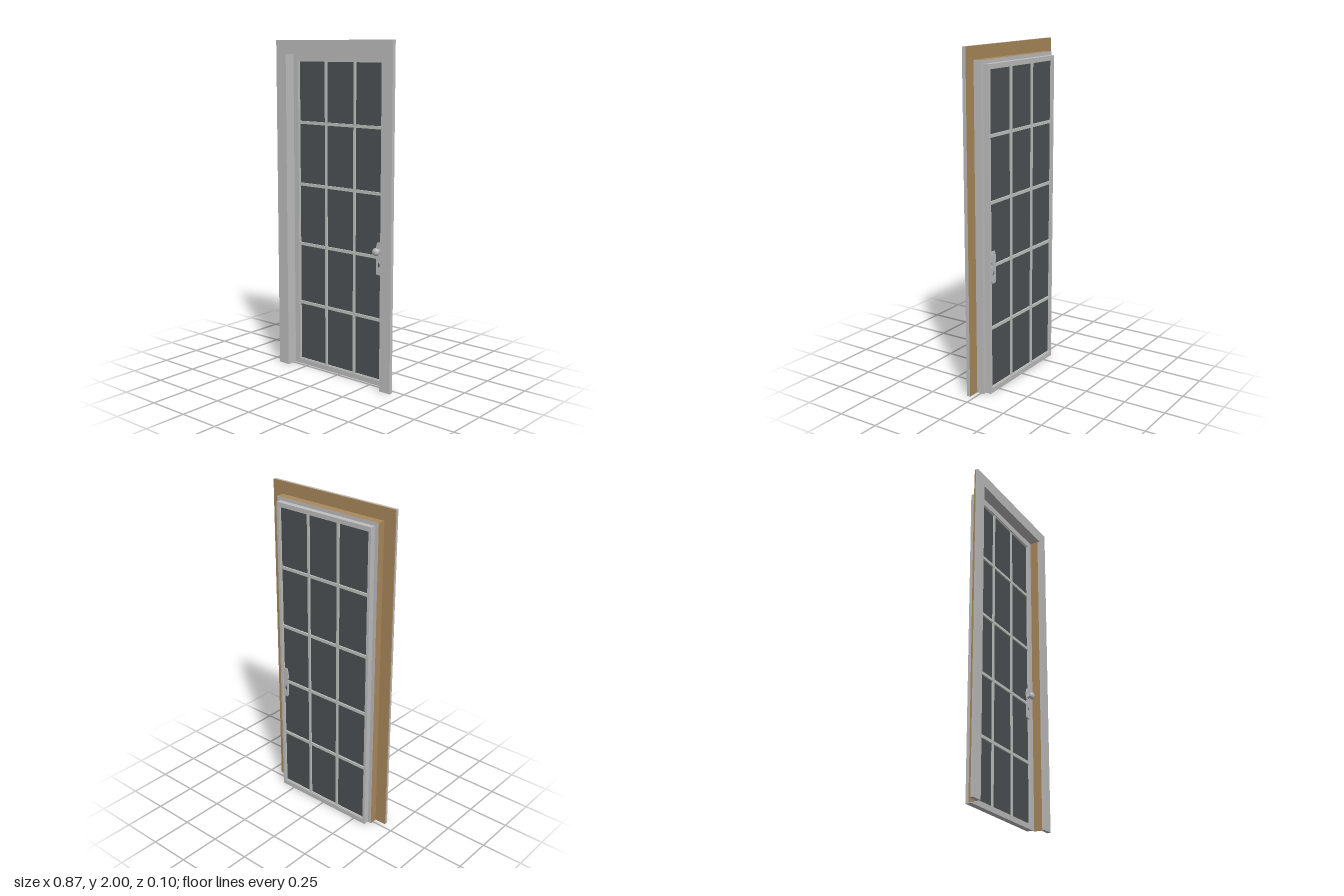
import * as THREE from 'three';

const mat = (name, color) => {
  const m = new THREE.MeshStandardMaterial({ color });
  m.name = name;
  return m;
};

export function createModel() {
  const paint = mat('grey paint', 0xc0c0c0);
  const wood = mat('tan wood', 0xab895b);
  const glassMat = mat('dark glass', 0x4d5256);
  const barMat = mat('pale bars', 0xc0c6c1);
  const metal = mat('handle metal', 0xbcbebf);

  const model = new THREE.Group();
  model.name = 'door';

  const add = (parent, name, geo, material) => {
    const m = new THREE.Mesh(geo, material);
    m.name = name;
    parent.add(m);
    return m;
  };
  // Box given by its limits on each axis
  const box = (parent, name, [x0, x1], [y0, y1], [z0, z1], material) => {
    const m = add(parent, name, new THREE.BoxGeometry(x1 - x0, y1 - y0, z1 - z0), material);
    m.position.set((x0 + x1) / 2, (y0 + y1) / 2, (z0 + z1) / 2);
    return m;
  };
  const extrude = (shape, z0, z1) => new THREE.ExtrudeGeometry(shape,
    { depth: z1 - z0, bevelEnabled: false, curveSegments: 8 }).translate(0, 0, z0);
  const rect = (Type, w, y0, y1) => new Type([[-w, y0], [w, y0], [w, y1], [-w, y1]]
    .map(([x, y]) => new THREE.Vector2(x, y)));
  // Upside-down U: two posts and a head, open at the floor
  const arch = (wo, to, wi, ti) => new THREE.Shape([[-wo, 0], [-wi, 0], [-wi, ti], [wi, ti],
    [wi, 0], [wo, 0], [wo, to], [-wo, to]].map(([x, y]) => new THREE.Vector2(x, y)));
  // Closed rectangular frame with an opening
  const ring = (wo, bo, to, wi, bi, ti) => {
    const s = rect(THREE.Shape, wo, bo, to);
    s.holes.push(rect(THREE.Path, wi, bi, ti));
    return s;
  };

  // Casing: painted face with a bare wood back
  const frame = new THREE.Group();
  frame.name = 'doorFrame';
  model.add(frame);
  add(frame, 'casing', extrude(arch(0.433, 2, 0.357, 1.92), 0.035, 0.05), paint);
  // BoxGeometry face order: +x, -x, +y, -y, +z, -z
  const woodLeft = [paint, wood, wood, paint, paint, wood];
  const woodRight = [paint, wood, wood, paint, paint, wood];
  box(frame, 'casingBackLeft', [0.357, 0.433], [0, 1.92], [0.027, 0.035], woodLeft);
  box(frame, 'casingBackRight', [-0.433, -0.357], [0, 1.92], [0.027, 0.035], woodRight);
  box(frame, 'casingBackHead', [-0.433, 0.433], [1.92, 2], [0.027, 0.035],
    [paint, wood, wood, paint, paint, wood]);

  // Jamb lining behind the casing
  const jambFaces = [paint, wood, wood, paint, paint, paint];
  box(frame, 'jambLeft', [0.357, 0.362], [0, 1.92], [-0.02, 0.027], jambFaces);
  box(frame, 'jambRight', [-0.362, -0.357], [0, 1.92], [-0.02, 0.027], jambFaces);
  box(frame, 'jambHead', [-0.362, 0.362], [1.92, 1.926], [-0.02, 0.027], jambFaces);

  // Door leaf: rear body and a wider front lip that closes the opening
  const leaf = new THREE.Group();
  leaf.name = 'doorLeaf';
  model.add(leaf);
  add(leaf, 'leafBody', extrude(ring(0.338, 0, 1.905, 0.321, 0.031, 1.88), -0.053, -0.02), paint);
  add(leaf, 'leafLip', extrude(ring(0.357, 0, 1.92, 0.321, 0.031, 1.88), -0.02, -0.017), paint);
  add(leaf, 'glassBead', extrude(ring(0.321, 0.031, 1.88, 0.317, 0.035, 1.876), -0.047, -0.023), barMat);
  box(leaf, 'glass', [-0.319, 0.319], [0.033, 1.878], [-0.039, -0.031], glassMat);

  // Glazing bars, three panes across and five up
  for (const x of [-0.108, 0.108])
    box(leaf, 'verticalBar', [x - 0.007, x + 0.007], [0.033, 1.878], [-0.048, -0.022], barMat);
  for (const y of [0.398, 0.77, 1.14, 1.515])
    box(leaf, 'horizontalBar', [-0.319, 0.319], [y - 0.009, y + 0.009], [-0.0475, -0.0225], barMat);

  // Handle plates with shaped edges and a keyhole
  const half = [[0.013, 0.67], [0.018, 0.678], [0.018, 0.765], [0.014, 0.772], [0.014, 0.785],
    [0.019, 0.795], [0.019, 0.838], [0.015, 0.843], [0.012, 0.86]];
  const outline = [...half, ...half.map(([x, y]) => [-x, y]).reverse()];
  const plate = new THREE.Shape(outline.map(([x, y]) => new THREE.Vector2(x, y)));
  const keyhole = new THREE.Path();
  keyhole.absellipse(0, 0.727, 0.007, 0.015, 0, Math.PI * 2, true);
  plate.holes.push(keyhole);

  const handle = new THREE.Group();
  handle.name = 'handle';
  handle.position.x = 0.298;
  model.add(handle);
  add(handle, 'frontPlate', extrude(plate, -0.022, -0.013), metal);
  add(handle, 'backPlate', extrude(plate, -0.053, -0.046), metal);
  for (const [name, z] of [['frontKeyhole', -0.02], ['backKeyhole', -0.05]])
    box(handle, name, [-0.009, 0.009], [0.71, 0.744], [z, z + 0.002], glassMat);

  // Round knob on a short neck
  const profile = [[0.014, 0], [0.01, 0.005], [0.01, 0.013], [0.019, 0.018],
    [0.023, 0.025], [0.021, 0.033], [0.013, 0.039], [0, 0.041]];
  const knob = add(handle, 'knob', new THREE.LatheGeometry(
    profile.map(([x, y]) => new THREE.Vector2(x, y)), 24), metal);
  knob.rotation.x = Math.PI / 2;
  knob.position.set(-0.002, 0.81, -0.014);

  return model;
}
